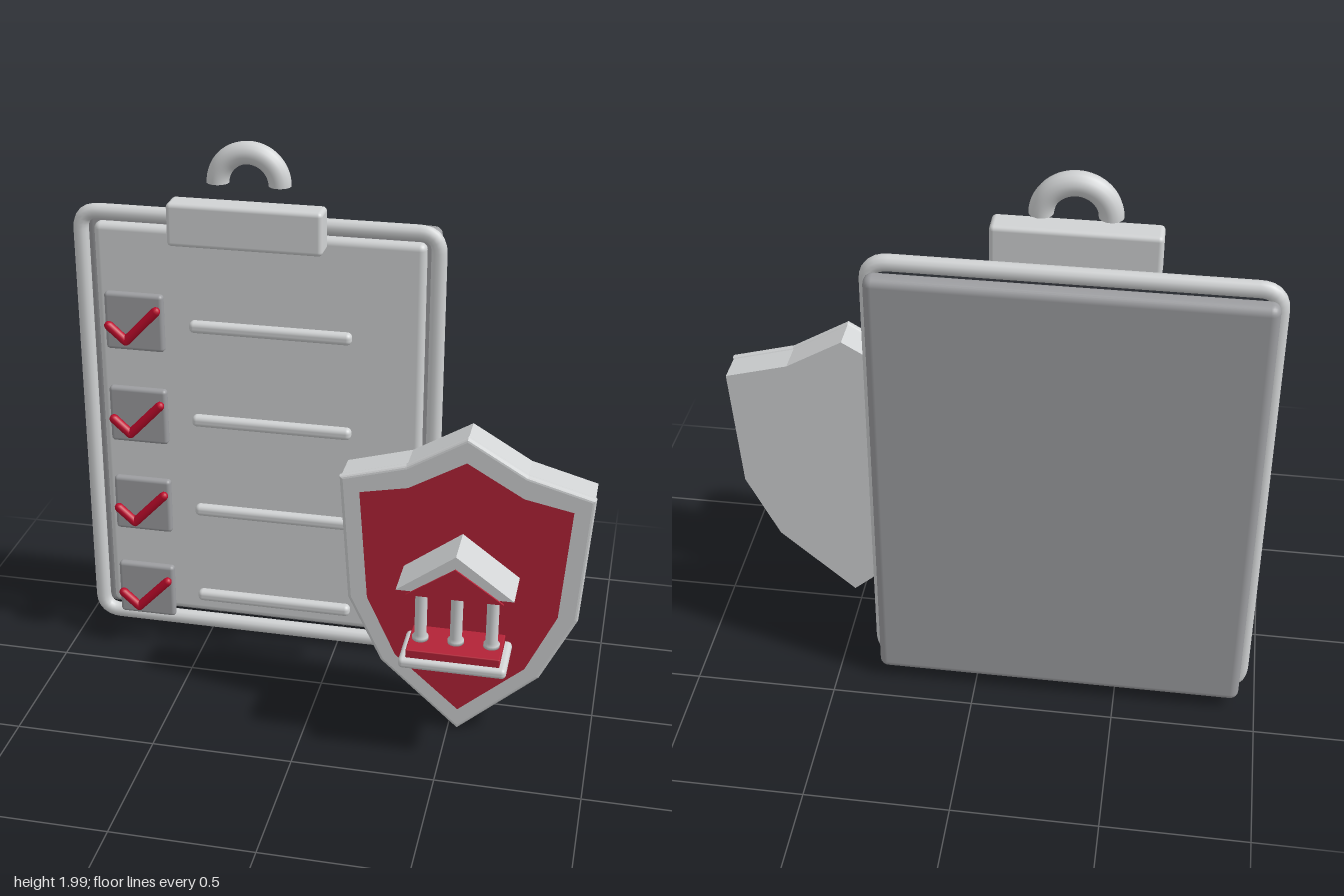
import * as THREE from 'three';
import { RoundedBoxGeometry } from 'three/addons/geometries/RoundedBoxGeometry.js';

const light = new THREE.MeshStandardMaterial({ color: 0xd1d3d4 });
light.name = 'light grey';
const dark = new THREE.MeshStandardMaterial({ color: 0x9d9ea1 });
dark.name = 'dark grey';
const red = new THREE.MeshStandardMaterial({ color: 0xb32337 });
red.name = 'red';
const crimson = new THREE.MeshStandardMaterial({ color: 0xbe0a2b });
crimson.name = 'crimson';

function add(parent, name, geometry, material, x = 0, y = 0, z = 0) {
  const mesh = new THREE.Mesh(geometry, material);
  mesh.name = name;
  mesh.position.set(x, y, z);
  parent.add(mesh);
  return mesh;
}

// Rounded box given by its extents
function slab(parent, name, material, [x0, x1], [y0, y1], [z0, z1], radius) {
  const geometry = new RoundedBoxGeometry(x1 - x0, y1 - y0, z1 - z0, 3, radius);
  return add(parent, name, geometry, material, (x0 + x1) / 2, (y0 + y1) / 2, (z0 + z1) / 2);
}

function group(parent, name) {
  const g = new THREE.Group();
  g.name = name;
  parent.add(g);
  return g;
}

// Closed rounded rectangle path for the frame tube
function framePath(x0, x1, y0, y1, r) {
  const path = new THREE.CurvePath();
  const v = (x, y) => new THREE.Vector3(x, y, 0);
  const corners = [v(x0, y0), v(x1, y0), v(x1, y1), v(x0, y1)];
  corners.forEach((c, i) => {
    const next = corners[(i + 1) % 4];
    const after = corners[(i + 2) % 4];
    const d = next.clone().sub(c).normalize().multiplyScalar(r);
    const e = after.clone().sub(next).normalize().multiplyScalar(r);
    const end = next.clone().sub(d);
    path.add(new THREE.LineCurve3(c.clone().add(d), end));
    path.add(new THREE.QuadraticBezierCurve3(end, next, next.clone().add(e)));
  });
  return path;
}

// Capsule rod between two points in the xy plane
function rod(parent, name, a, b, radius, material) {
  const dx = b[0] - a[0], dy = b[1] - a[1];
  const mesh = add(parent, name, new THREE.CapsuleGeometry(radius, Math.hypot(dx, dy), 3, 10), material,
    (a[0] + b[0]) / 2, (a[1] + b[1]) / 2, 0);
  mesh.rotation.z = Math.atan2(dy, dx) - Math.PI / 2;
}

// Symmetric outline from its right half, top to bottom
function mirrored(half, scale = 1) {
  const left = half.slice(1, -1).reverse().map(([x, y]) => [-x, y]);
  return [...half, ...left].map(([x, y]) => new THREE.Vector2(x * scale, 0.58 + (y - 0.58) * scale));
}

function buildClipboard(root) {
  const board = group(root, 'clipboard');
  slab(board, 'backboard', dark, [-0.94, 0.35], [0.05, 1.69], [-0.405, -0.335], 0.03);
  const path = framePath(-0.942, 0.352, 0.048, 1.692, 0.07);
  add(board, 'frame', new THREE.TubeGeometry(path, 320, 0.028, 12, true), light, 0, 0, -0.293);
  slab(board, 'redSheet', red, [-0.86, 0.27], [0.077, 1.6], [-0.337, -0.315], 0.008);
  slab(board, 'paper', light, [-0.895, 0.308], [0.09, 1.65], [-0.336, -0.28], 0.025);

  // Clip and hanging loop
  slab(board, 'clip', light, [-0.57, -0.022], [1.64, 1.795], [-0.207, -0.11], 0.016);
  add(board, 'loop', new THREE.TorusGeometry(0.109, 0.04, 14, 32, Math.PI), light, -0.295, 1.855, -0.2);
  for (const side of [-1, 1]) {
    const cap = add(board, 'loopEnd', new THREE.CircleGeometry(0.04, 14), light, -0.295 + side * 0.109, 1.855, -0.2);
    cap.rotation.x = Math.PI / 2;
  }

  // Checklist rows
  for (let i = 0; i < 4; i++) {
    const y = 1.335 - i * 0.364;
    const row = group(board, 'checklistRow');
    slab(row, 'checkbox', dark, [-0.82, -0.604], [y - 0.108, y + 0.108], [-0.176, -0.142], 0.014);
    slab(row, 'textLine', light, [-0.51, 0.075], [y - 0.022, y + 0.022], [-0.176, -0.134], 0.018);
    const check = group(row, 'checkMark');
    check.position.set(0, y, -0.12);
    rod(check, 'shortStroke', [-0.797, -0.008], [-0.737, -0.062], 0.017, crimson);
    rod(check, 'longStroke', [-0.737, -0.062], [-0.622, 0.058], 0.017, crimson);
  }
}

function buildShield(root) {
  const shield = group(root, 'shield');
  shield.position.x = 0.533;
  const outer = [[0, 1.156], [0.205, 1.035], [0.433, 0.972], [0.4, 0.505], [0.28, 0.26], [0, 0.01]];
  const inner = [[0, 1.08], [0.2, 0.965], [0.375, 0.93], [0.343, 0.51], [0.238, 0.285], [0, 0.077]];

  const body = new THREE.ExtrudeGeometry(new THREE.Shape(mirrored(outer, 0.99)), { depth: 0.113, bevelEnabled: false });
  add(shield, 'shieldBody', body, light, 0, 0, 0.045);

  const rimShape = new THREE.Shape(mirrored(outer));
  rimShape.holes.push(new THREE.Path(mirrored(inner)));
  const rim = new THREE.ExtrudeGeometry(rimShape, {
    depth: 0.01, bevelThickness: 0.011, bevelSize: 0.012, bevelOffset: -0.012, bevelSegments: 3,
  });
  add(shield, 'shieldRim', rim, light, 0, 0, 0.163);

  const face = new THREE.ExtrudeGeometry(new THREE.Shape(mirrored(inner, 1.03)), { depth: 0.008, bevelEnabled: false });
  add(shield, 'shieldFace', face, red, 0, 0, 0.158);
}

function buildTemple(root) {
  const temple = group(root, 'temple');
  temple.position.x = 0.533;
  slab(temple, 'lowerStep', light, [-0.184, 0.184], [0.378, 0.416], [0.203, 0.404], 0.016);
  slab(temple, 'upperStep', red, [-0.16, 0.16], [0.414, 0.446], [0.22, 0.387], 0.004);

  // Columns with flared feet and heads
  const profile = [[0, 0], [0.028, 0], [0.028, 0.012], [0.021, 0.02], [0.021, 0.2], [0.028, 0.21], [0.028, 0.226], [0, 0.226]]
    .map(([x, y]) => new THREE.Vector2(x, y));
  for (const x of [-0.122, 0, 0.122]) {
    add(temple, 'column', new THREE.LatheGeometry(profile, 20), light, x, 0.446, 0.304);
  }

  // Roof with a thin red gable plate
  const triangle = (w, y0, y1, depth) => new THREE.ExtrudeGeometry(
    new THREE.Shape([new THREE.Vector2(-w, y0), new THREE.Vector2(w, y0), new THREE.Vector2(0, y1)]),
    { depth, bevelEnabled: false });
  add(temple, 'roof', triangle(0.198, 0.674, 0.82, 0.164), light, 0, 0, 0.22);
  add(temple, 'gable', triangle(0.164, 0.662, 0.775, 0.008), red, 0, 0, 0.383);
}

export function createModel() {
  const root = new THREE.Group();
  root.name = 'clipboardWithShield';
  buildClipboard(root);
  buildShield(root);
  buildTemple(root);
  return root;
}
